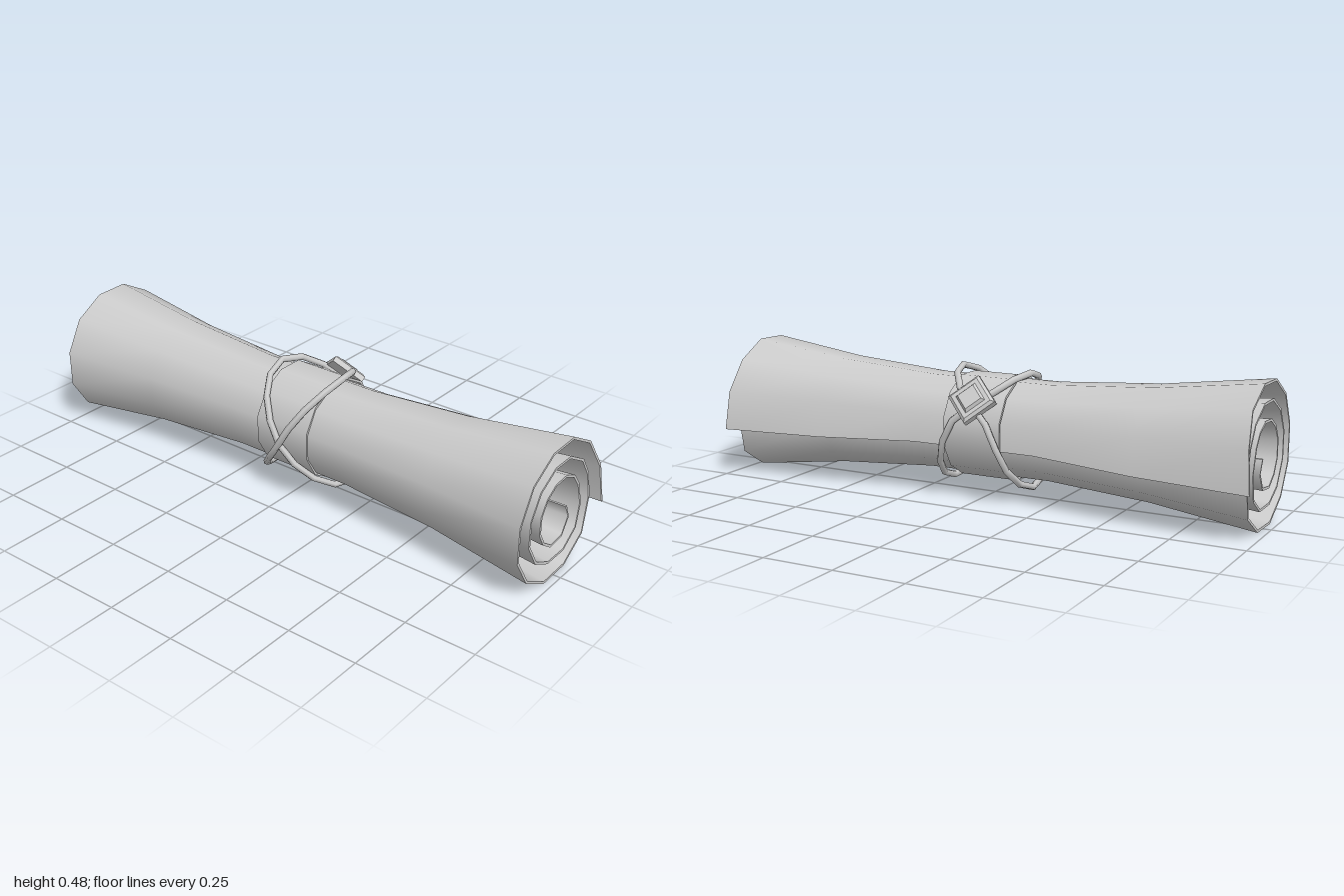
import * as THREE from 'three';

const CY = 0.243; // height of the roll's axis
const paper = new THREE.MeshStandardMaterial({ color: 0xcccccc, side: THREE.DoubleSide });
paper.name = 'plain grey';

// Smooth surface through a grid of points: rows of equal length
function gridSurface(rows) {
  const n = rows[0].length, pos = [], idx = [];
  rows.forEach(r => r.forEach(p => pos.push(...p)));
  for (let i = 0; i < rows.length - 1; i++) {
    for (let j = 0; j < n - 1; j++) {
      const a = i * n + j, b = a + 1, c = a + n, d = c + 1;
      idx.push(a, c, b, b, c, d);
    }
  }
  const g = new THREE.BufferGeometry();
  g.setAttribute('position', new THREE.Float32BufferAttribute(pos, 3));
  g.setIndex(idx);
  g.computeVertexNormals();
  return g;
}

function part(name, geometry, parent) {
  const m = new THREE.Mesh(geometry, paper);
  m.name = name;
  parent.add(m);
  return m;
}

// Spiral section at the flared end as [z, y], from the loose flap inward
const spiral = [
  [-0.245, 0.17], [-0.23, 0.31], [-0.165, 0.42], [-0.05, 0.483], [0.075, 0.48], [0.185, 0.415],
  [0.247, 0.30], [0.245, 0.17], [0.178, 0.065], [0.065, 0.002], [-0.065, 0.006], [-0.172, 0.075],
  [-0.197, 0.205], [-0.175, 0.30], [-0.13, 0.37], [-0.04, 0.42], [0.052, 0.42], [0.135, 0.372],
  [0.183, 0.29], [0.182, 0.195], [0.13, 0.11], [0.05, 0.07], [-0.05, 0.07], [-0.122, 0.12],
  [-0.14, 0.205], [-0.115, 0.29], [-0.08, 0.335], [-0.025, 0.36], [0.04, 0.356], [0.09, 0.325],
  [0.12, 0.275], [0.12, 0.21], [0.09, 0.16], [0.04, 0.127], [-0.03, 0.135], [-0.065, 0.19],
  [-0.045, 0.24],
];
// Stations along the length: [x, section scale]
const stations = [[-0.975, 1], [-0.6, 0.8], [-0.23, 0.695], [0.23, 0.695], [0.6, 0.8], [0.975, 1]];

function sheetRows(thickness) {
  return stations.map(([x, s]) => spiral.map(([z, y], j) => {
    const loose = j === 0 ? 1 : j === 1 ? 0.5 : 0; // the flap flares a little more
    const end = Math.abs(x) > 0.9, mid = Math.abs(x) === 0.6;
    const px = x + (end ? Math.sign(x) * 0.025 * loose : 0);
    const k = s + (mid ? 0.09 * loose : 0);
    const r = Math.hypot(z, y - CY), t = k * (1 - thickness / r);
    return [px, CY + (y - CY) * t, z * t];
  }));
}

function buildSheet(parent) {
  const sheet = new THREE.Group();
  sheet.name = 'rolledSheet';
  const outer = sheetRows(0), inner = sheetRows(0.009), last = stations.length - 1;
  part('sheetOutside', gridSurface(outer), sheet);
  part('sheetInside', gridSurface([...inner].reverse()), sheet);
  part('rightSheetEnd', gridSurface([inner[0], outer[0]]), sheet);
  part('leftSheetEnd', gridSurface([outer[last], inner[last]]), sheet);
  const e = spiral.length - 1;
  part('flapEdge', gridSurface([inner.map(r => r[0]), outer.map(r => r[0])]), sheet);
  part('innerEdge', gridSurface([outer.map(r => r[e]), inner.map(r => r[e])]), sheet);
  parent.add(sheet);
}

// Thin sleeve around the waist
function buildSleeve(parent) {
  const ends = [[0.174, -0.108], [0.183, -0.108], [0.183, 0.108], [0.174, 0.108], [0.174, -0.108]];
  for (let i = 0; i < 4; i++) {
    const profile = [ends[i], ends[i + 1]].map(p => new THREE.Vector2(...p));
    const m = part('waistSleeve', new THREE.LatheGeometry(profile, 12, Math.PI / 12), parent);
    m.rotation.z = -Math.PI / 2;
    m.position.y = CY;
  }
}

// Tilted cord loop: [degrees from front over the top, x]
const cordPath = [[-6, 0], [22, 0.055], [50, 0.105], [80, 0.135], [105, 0.118], [125, 0.085], [145, 0.02],
  [165, -0.06], [190, -0.105], [220, -0.135], [255, -0.155], [285, -0.15], [310, -0.11], [332, -0.055]];

function buildCord(parent, side) {
  const pts = cordPath.map(([deg, x]) => {
    const a = THREE.MathUtils.degToRad(deg), r = 0.198 + side * 0.004;
    return new THREE.Vector3(x * side, CY + r * Math.sin(a), r * Math.cos(a));
  });
  const path = new THREE.CurvePath();
  pts.forEach((p, i) => path.add(new THREE.LineCurve3(p, pts[(i + 1) % pts.length])));
  const smooth = new THREE.CatmullRomCurve3(pts, true, 'centripetal');
  part(side > 0 ? 'leftCord' : 'rightCord', new THREE.TubeGeometry(smooth, 16, 0.012, 6, true), parent);
}

// Diamond clasp on the upper back: a plate, a bevelled rim and a raised centre
function buildClasp(parent) {
  const clasp = new THREE.Group();
  clasp.name = 'clasp';
  const layers = [['claspPlate', 0.09, 0.09, 0.02, 0], ['claspRim', 0.076, 0.09, 0.008, 0.014],
    ['claspCentre', 0.045, 0.058, 0.012, 0.022]];
  for (const [name, top, bottom, h, y] of layers) {
    const g = new THREE.CylinderGeometry(top, bottom, h, 4).toNonIndexed();
    g.computeVertexNormals();
    part(name, g, clasp).position.y = y;
  }
  const a = THREE.MathUtils.degToRad(145), r = 0.202;
  clasp.position.set(0, CY + r * Math.sin(a), r * Math.cos(a));
  clasp.rotation.x = Math.PI / 2 - a;
  parent.add(clasp);
}

export function createModel() {
  const scroll = new THREE.Group();
  scroll.name = 'scroll';
  buildSheet(scroll);
  buildSleeve(scroll);
  buildCord(scroll, 1);
  buildCord(scroll, -1);
  buildClasp(scroll);
  return scroll;
}
